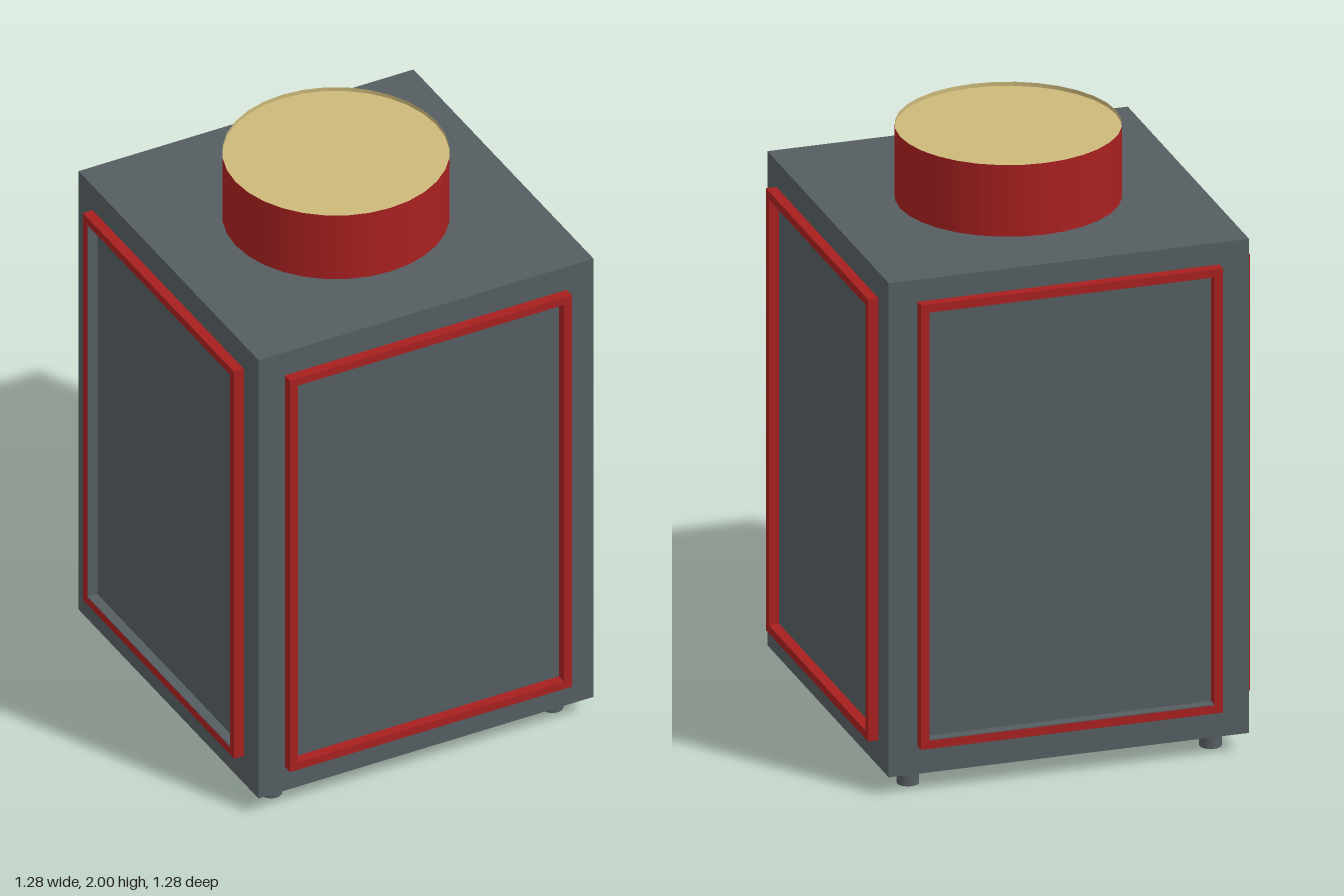
import * as THREE from 'three';

const grey = new THREE.MeshStandardMaterial({ color: 0x555d61 });
const red = new THREE.MeshStandardMaterial({ color: 0xa82020 });
const sand = new THREE.MeshStandardMaterial({ color: 0xcdb97a });
const sandInside = new THREE.MeshStandardMaterial({ color: 0xcdb97a, side: THREE.BackSide });

const HALF = 0.605; // half width of the housing
const DEPTH = 0.035; // how far the frames stand out
const BAR = 0.028; // width of a frame bar

function add(parent, name, geometry, material, x = 0, y = 0, z = 0) {
  const mesh = new THREE.Mesh(geometry, material);
  mesh.name = name;
  mesh.position.set(x, y, z);
  parent.add(mesh);
  return mesh;
}

function rectangle(Type, x0, y0, x1, y1) {
  const r = new Type();
  r.moveTo(x0, y0);
  r.lineTo(x1, y0);
  r.lineTo(x1, y1);
  r.lineTo(x0, y1);
  r.closePath();
  return r;
}

// Raised rectangular frame, built facing +z and turned onto its side
function panelFrame(name, angle, x0, x1, y0, y1, lined) {
  const group = new THREE.Group();
  group.name = name;
  const shape = rectangle(THREE.Shape, x0, y0, x1, y1);
  shape.holes.push(rectangle(THREE.Path, x0 + BAR, y0 + BAR, x1 - BAR, y1 - BAR));
  const geometry = new THREE.ExtrudeGeometry(shape, { depth: DEPTH, bevelEnabled: false });
  add(group, 'frameBars', geometry, red, 0, 0, HALF);

  // Thin grey lining on the inner edges of the frame
  const t = 0.003;
  const w = x1 - x0 - 2 * BAR, h = y1 - y0 - 2 * BAR;
  const cx = (x0 + x1) / 2, cy = (y0 + y1) / 2, z = HALF + DEPTH / 2 - 0.001;
  if (lined !== 'none') {
    add(group, 'lowerLining', new THREE.BoxGeometry(w, t, DEPTH), grey, cx, y0 + BAR + t / 2, z);
  }
  if (lined === 'all') {
    add(group, 'upperLining', new THREE.BoxGeometry(w, t, DEPTH), grey, cx, y1 - BAR - t / 2, z);
    for (const s of [-1, 1]) {
      add(group, 'sideLining', new THREE.BoxGeometry(t, h, DEPTH), grey, cx + s * (w - t) / 2, cy, z);
    }
  }
  group.rotation.y = angle;
  return group;
}

export function createModel() {
  const model = new THREE.Group();
  model.name = 'lantern';

  // Housing
  add(model, 'housing', new THREE.BoxGeometry(2 * HALF, 1.69, 2 * HALF), grey, 0, 0.91, 0);

  // Frames on the four sides
  model.add(
    panelFrame('frontFrame', 0, -0.51, 0.508, 0.157, 1.666, 'none'),
    panelFrame('leftFrame', Math.PI / 2, -0.515, 0.503, 0.154, 1.666, 'none'),
    panelFrame('backFrame', Math.PI, -0.508, 0.505, 0.16, 1.68, 'lower'),
    panelFrame('rightFrame', -Math.PI / 2, -0.51, 0.506, 0.17, 1.662, 'all')
  );

  // Round cap with a slightly sunken top
  const radius = 0.363;
  add(model, 'capWall', new THREE.CylinderGeometry(radius, radius, 0.245, 32, 1, true), red, 0, 1.8775, 0);
  add(model, 'capLip', new THREE.CylinderGeometry(radius - 0.001, radius - 0.001, 0.014, 32, 1, true), sandInside, 0, 1.993, 0);
  const top = add(model, 'capTop', new THREE.CircleGeometry(radius, 32), sand, 0, 1.986, 0);
  top.rotation.x = -Math.PI / 2;

  // Feet
  for (const x of [-0.508, 0.508]) {
    for (const z of [-0.508, 0.508]) {
      add(model, 'foot', new THREE.CylinderGeometry(0.036, 0.036, 0.07, 20), grey, x, 0.035, z);
    }
  }
  return model;
}
